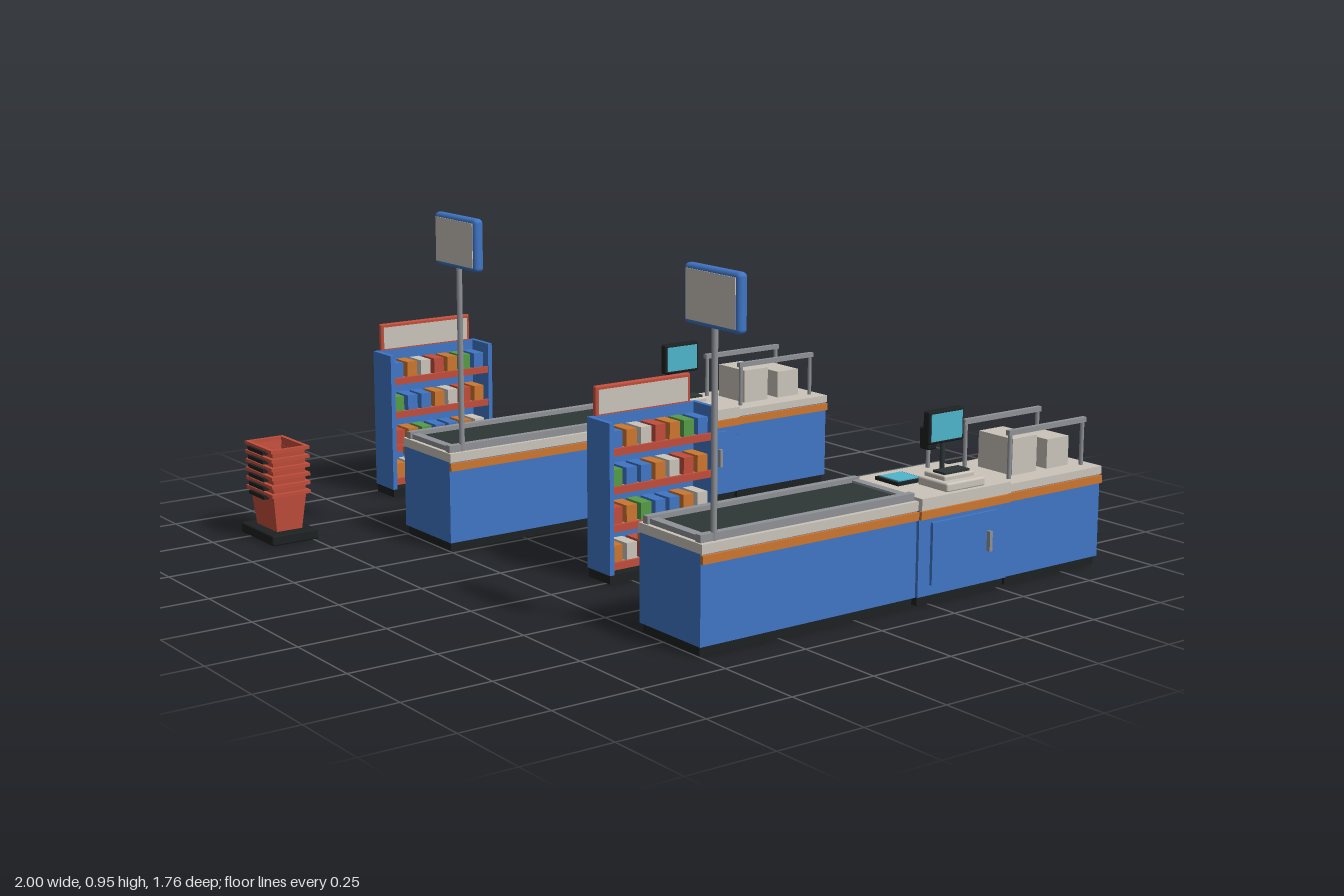
import * as THREE from 'three';
import { RoundedBoxGeometry } from 'three/addons/geometries/RoundedBoxGeometry.js';

function material(name, color, side = THREE.FrontSide) {
  const m = new THREE.MeshStandardMaterial({ color, side });
  m.name = name;
  return m;
}
const blue = material('blue panel', 0x4076c6);
const cream = material('cream laminate', 0xcac4ba);
const grey = material('grey metal', 0x8f9297);
const dark = material('dark rubber', 0x2e3636);
const black = material('black plinth', 0x1e2122);
const red = material('red plastic', 0xc24e3c, THREE.DoubleSide);
const orange = material('orange trim', 0xcc7630);
const green = material('green goods', 0x569c48);
const teal = material('teal screen', 0x4fb6cc);

function add(parent, name, geometry, mat) {
  const mesh = new THREE.Mesh(geometry, mat);
  mesh.name = name;
  parent.add(mesh);
  return mesh;
}

// Box given by its limits on each axis
function box(parent, name, mat, [x0, x1], [y0, y1], [z0, z1], round = 0) {
  const s = [x1 - x0, y1 - y0, z1 - z0];
  const g = round ? new RoundedBoxGeometry(...s, 3, round) : new THREE.BoxGeometry(...s);
  const mesh = add(parent, name, g, mat);
  mesh.position.set((x0 + x1) / 2, (y0 + y1) / 2, (z0 + z1) / 2);
  return mesh;
}

function rod(parent, name, mat, radius, x, y0, y1, z) {
  const mesh = add(parent, name, new THREE.CylinderGeometry(radius, radius, y1 - y0, 12), mat);
  mesh.position.set(x, (y0 + y1) / 2, z);
  return mesh;
}

function cabinets(lane) {
  // [name, z range, half width of the body, top half width, top height]
  const sections = [
    ['belt', [-0.203, 0.5], 0.125, 0.131, 0.285],
    ['till', [-0.526, -0.207], 0.13, 0.14, 0.292],
    ['packing', [-0.882, -0.53], 0.125, 0.131, 0.282],
  ];
  for (const [name, z, w, top, h] of sections) {
    const inner = [z[0] + 0.005, z[1] - 0.005];
    box(lane, name + 'Plinth', black, [-w + 0.008, w - 0.008], [0, 0.03], inner);
    box(lane, name + 'Cabinet', blue, [-w, w], [0.025, 0.26], z);
    box(lane, name + 'Top', cream, [-top, top], [0.26, h], z);
    for (const s of [-1, 1]) {
      const x = [s * w, s * (w + 0.009)].sort((a, b) => a - b);
      box(lane, name + 'Trim', orange, x, [0.235, 0.257], z);
    }
  }
  // Cupboard door with its handle
  box(lane, 'door', blue, [0.13, 0.139], [0.053, 0.222], [-0.48, -0.248]);
  box(lane, 'doorHandle', grey, [0.139, 0.151], [0.115, 0.17], [-0.453, -0.443]);
}

function conveyor(lane) {
  box(lane, 'belt', dark, [-0.096, 0.096], [0.28, 0.293], [-0.175, 0.462]);
  for (const s of [-1, 1]) {
    const side = box(lane, 'beltRail', grey, [-0.01, 0.01], [0.28, 0.305], [-0.2, 0.495]);
    side.position.x = s * 0.108;
  }
  box(lane, 'beltEndRear', grey, [-0.1, 0.1], [0.28, 0.299], [-0.2, -0.174]);
  box(lane, 'beltEndFront', grey, [-0.1, 0.1], [0.28, 0.299], [0.462, 0.488]);
}

function till(lane) {
  // Register with keys and a screen turned to the cashier
  box(lane, 'registerBase', cream, [0.012, 0.126], [0.29, 0.315], [-0.445, -0.307], 0.006);
  box(lane, 'registerBody', cream, [0.02, 0.1], [0.31, 0.328], [-0.43, -0.322], 0.005);
  box(lane, 'keypad', dark, [0.046, 0.09], [0.325, 0.334], [-0.42, -0.33]);
  rod(lane, 'screenStand', dark, 0.007, 0.035, 0.32, 0.42, -0.373);
  box(lane, 'screenCase', black, [0.024, 0.049], [0.402, 0.492], [-0.436, -0.31], 0.006);
  box(lane, 'screen', teal, [0.047, 0.051], [0.41, 0.484], [-0.428, -0.318]);
  // Scanner plate
  box(lane, 'scannerFrame', black, [-0.09, 0.002], [0.29, 0.301], [-0.342, -0.248]);
  box(lane, 'scannerGlass', teal, [-0.081, -0.007], [0.3, 0.304], [-0.333, -0.257]);
  // Card reader
  rod(lane, 'readerStand', grey, 0.006, -0.108, 0.29, 0.36, -0.456);
  box(lane, 'cardReader', black, [-0.127, -0.09], [0.344, 0.406], [-0.472, -0.439], 0.006);
}

function packing(lane) {
  for (const x of [-0.085, 0.085]) {
    for (const z of [-0.848, -0.572]) rod(lane, 'guardPost', grey, 0.006, x, 0.28, 0.41, z);
    box(lane, 'guardRail', grey, [x - 0.007, x + 0.007], [0.402, 0.416], [-0.857, -0.563]);
  }
  box(lane, 'parcelLarge', cream, [-0.065, 0.065], [0.28, 0.383], [-0.695, -0.603]);
  box(lane, 'parcelSmall', cream, [-0.065, 0.065], [0.28, 0.364], [-0.818, -0.735]);
}

function laneSign(lane) {
  rod(lane, 'signPole', grey, 0.008, 0.112, 0.28, 0.82, 0.45);
  box(lane, 'signBoard', blue, [0.004, 0.22], [0.805, 0.953], [0.434, 0.464], 0.012);
  box(lane, 'signFaceFront', cream, [0.016, 0.208], [0.817, 0.941], [0.463, 0.466]);
  box(lane, 'signFaceBack', cream, [0.016, 0.208], [0.817, 0.941], [0.432, 0.435]);
}

function checkoutLane() {
  const lane = new THREE.Group();
  lane.name = 'checkoutLane';
  cabinets(lane);
  conveyor(lane);
  till(lane);
  packing(lane);
  laneSign(lane);
  return lane;
}

// Snack rack, open towards +x
function snackRack() {
  const rack = new THREE.Group();
  rack.name = 'snackRack';
  box(rack, 'rackBase', black, [-0.05, 0.05], [0, 0.025], [-0.18, 0.18]);
  box(rack, 'rackBack', blue, [-0.053, -0.04], [0.025, 0.445], [-0.17, 0.17]);
  for (const s of [-1, 1]) {
    const side = box(rack, 'rackSide', blue, [-0.053, 0.053], [0.025, 0.445], [-0.007, 0.007]);
    side.position.z = s * 0.175;
  }
  // Header board
  box(rack, 'headerBoard', red, [-0.058, -0.043], [0.438, 0.527], [-0.16, 0.16], 0.005);
  box(rack, 'headerFace', cream, [-0.044, -0.041], [0.449, 0.516], [-0.15, 0.15]);
  // Shelves with goods
  const goods = [blue, green, orange, red, cream, orange, blue];
  for (let row = 0; row < 4; row++) {
    const y = 0.045 + row * 0.105;
    box(rack, 'shelf', grey, [-0.04, 0.046], [y - 0.005, y + 0.008], [-0.168, 0.168]);
    box(rack, 'shelfLip', red, [0.043, 0.052], [y - 0.007, y + 0.013], [-0.168, 0.168]);
    for (let i = 0; i < 7; i++) {
      const z = (i - 3) * 0.048;
      const mat = goods[(i + (3 - row) * 2) % 7];
      box(rack, 'packet', mat, [-0.036, 0.034], [y + 0.008, y + 0.056], [z - 0.017, z + 0.017]);
    }
  }
  return rack;
}

// Open tapered tub: walls and floor from a box, its top face dropped
function basketGeometry(height) {
  const g = new THREE.BoxGeometry(0.146, height, 0.106);
  const p = g.attributes.position;
  for (let i = 0; i < p.count; i++) {
    if (p.getY(i) < 0) {
      p.setX(i, p.getX(i) * 0.86);
      p.setZ(i, p.getZ(i) * 0.76);
    }
  }
  const index = Array.from(g.index.array);
  index.splice(12, 6);
  g.setIndex(index);
  g.clearGroups();
  g.computeVertexNormals();
  return g;
}

function basketStack() {
  const stack = new THREE.Group();
  stack.name = 'basketStack';
  box(stack, 'stackBase', black, [-0.1, 0.1], [0, 0.03], [-0.073, 0.073], 0.005);
  const tub = basketGeometry(0.115);
  for (let i = 0; i < 6; i++) {
    const rim = 0.145 + i * 0.026;
    add(stack, 'basket', tub, red).position.y = rim - 0.0575;
    for (const s of [-1, 1]) {
      const long = box(stack, 'rimLong', red, [-0.083, 0.083], [rim - 0.01, rim], [-0.006, 0.006]);
      long.position.z = s * 0.055;
      const short = box(stack, 'rimShort', red, [-0.006, 0.006], [rim - 0.01, rim], [-0.049, 0.049]);
      short.position.x = s * 0.077;
      const grip = box(stack, 'basketHandle', black, [-0.047, 0.047], [rim - 0.019, rim - 0.008], [-0.008, 0.008]);
      grip.position.z = s * 0.062;
    }
  }
  return stack;
}

export function createModel() {
  const model = new THREE.Group();
  model.name = 'checkoutArea';
  for (const x of [0, 1.16]) {
    const lane = checkoutLane();
    lane.position.x = -0.385 + x;
    const rack = snackRack();
    rack.position.set(-0.942 + x, 0, 0.142);
    model.add(lane, rack);
  }
  const stack = basketStack();
  stack.position.set(-0.705, 0, 0.809);
  model.add(stack);
  return model;
}
